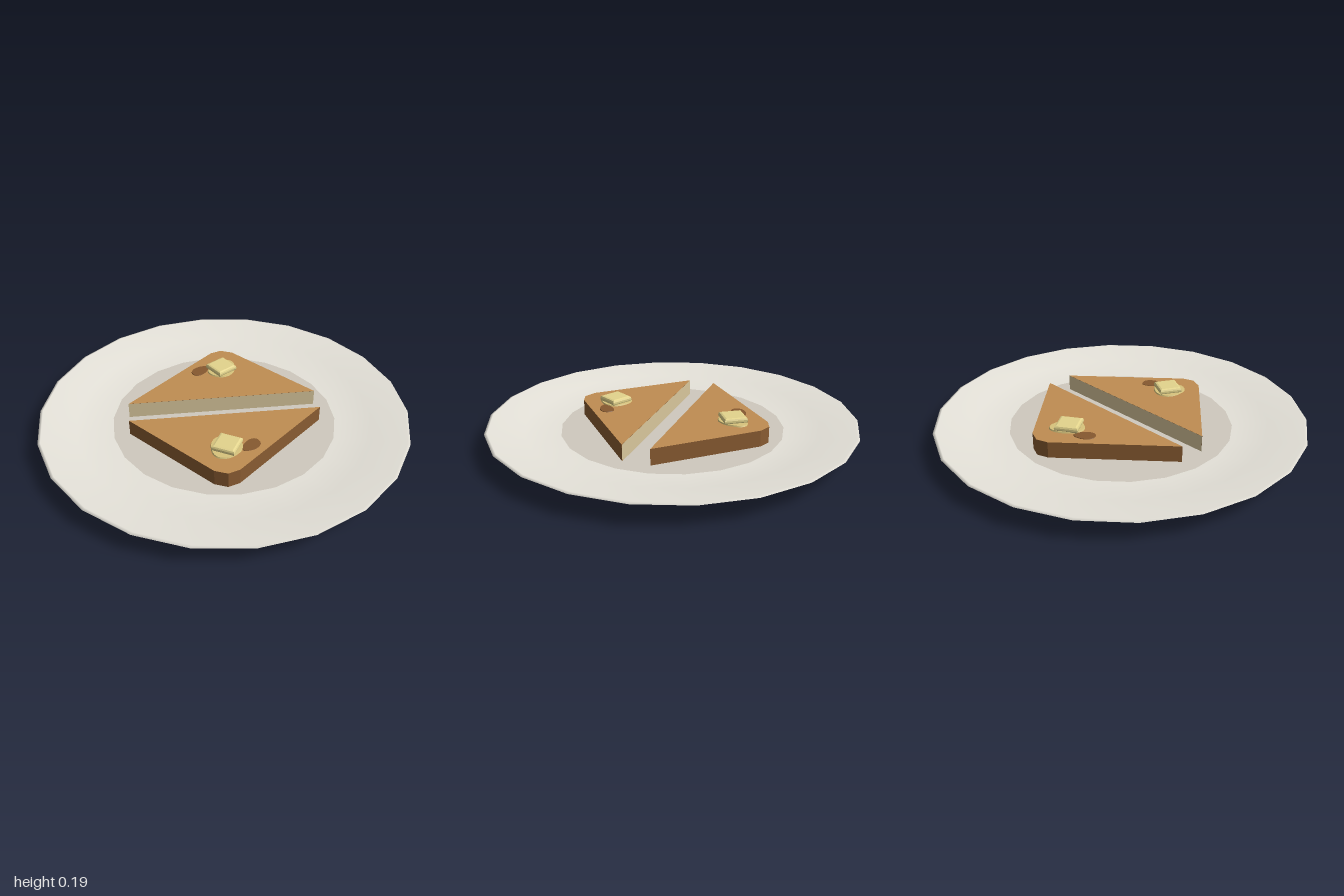
import * as THREE from 'three';

const SIDES = 22, FLOOR = 0.065, TOP = 0.155;
const mat = (color) => new THREE.MeshStandardMaterial({ color });
const plateMat = mat(0xe6e3da), wellMat = mat(0xcfc9be), toastMat = mat(0xbf8d52),
  crustMat = mat(0x8a5c32), crumbMat = mat(0xd9c79c), butterMat = mat(0xe3d48c),
  poolMat = mat(0xd8c47c), spotMat = mat(0x86592f);

function add(parent, name, geometry, material, x = 0, y = 0, z = 0) {
  const mesh = new THREE.Mesh(geometry, material);
  mesh.name = name;
  mesh.position.set(x, y, z);
  parent.add(mesh);
  return mesh;
}

// Thin flat puddle with a gently wavy outline
function blob(rx, rz, height, phase) {
  const g = new THREE.CylinderGeometry(0.96, 1, height, 28);
  const p = g.attributes.position;
  for (let i = 0; i < p.count; i++) {
    const a = Math.atan2(p.getZ(i), p.getX(i));
    const k = 1 + 0.06 * Math.sin(3 * a + phase) + 0.04 * Math.sin(2 * a - phase);
    p.setX(i, p.getX(i) * rx * k);
    p.setZ(i, p.getZ(i) * rz * k);
  }
  g.computeVertexNormals();
  return g;
}

// Square pat of butter with bevelled edges, resting on y = 0
function butterPat(size, height) {
  const b = 0.012, h = size / 2 - b;
  const s = new THREE.Shape([[-h, -h], [h, -h], [h, h], [-h, h]].map(([x, y]) => new THREE.Vector2(x, y)));
  const g = new THREE.ExtrudeGeometry(s, {
    depth: height - 2 * b, bevelThickness: b, bevelSize: b, bevelSegments: 2,
  });
  return g.rotateX(-Math.PI / 2).translate(0, b, 0);
}

// One triangular half slice: crusted wedge, pale cut face, butter and toasted spot
function toastHalf(name, patTurn, pool) {
  const half = new THREE.Group();
  half.name = name;
  const outline = [[-0.33, -0.4], [0.34, -0.4], [0.4, -0.375], [0.43, -0.31], [0.43, 0.29]];
  const shape = new THREE.Shape(outline.map(([x, z]) => new THREE.Vector2(x, z)));
  const depth = TOP - FLOOR;
  const wedge = new THREE.ExtrudeGeometry(shape, { depth, bevelEnabled: false }).rotateX(Math.PI / 2);
  add(half, 'toastSlice', wedge, [toastMat, crustMat], 0, TOP, 0);

  const [ax, az] = outline[0], [bx, bz] = outline[4];
  const length = Math.hypot(bx - ax, bz - az);
  const nx = -(bz - az) / length, nz = (bx - ax) / length;
  const cut = add(half, 'cutFace', new THREE.PlaneGeometry(length, depth), crumbMat,
    (ax + bx) / 2 + nx * 0.001, TOP - depth / 2, (az + bz) / 2 + nz * 0.001);
  cut.rotation.y = Math.atan2(nx, nz);

  add(half, 'toastedSpot', blob(0.06, 0.036, 0.004, 1), spotMat, 0.16, TOP + 0.001, -0.322);
  add(half, 'meltedButter', blob(pool.rx, pool.rz, 0.008, 2.5), poolMat, 0.258, TOP + 0.003, -0.238);
  const pat = add(half, 'butterPat', butterPat(0.124, 0.034), butterMat, 0.252, TOP, -0.24);
  pat.rotation.y = patTurn;
  return half;
}

export function createModel() {
  const model = new THREE.Group();
  model.name = 'toastPlate';

  // Plate: flat foot, flared wall, thin rim and shallow dished inside
  const profile = [[0, 0], [0.65, 0], [0.99, 0.11], [1, 0.115], [0.985, 0.12], [0.8, 0.092], [0.62, FLOOR], [0, FLOOR]]
    .map(([r, y]) => new THREE.Vector2(r, y));
  add(model, 'plate', new THREE.LatheGeometry(profile, SIDES, Math.PI / 2), plateMat);

  // Darker well in the middle of the plate
  add(model, 'plateWell', new THREE.CircleGeometry(0.605, SIDES).rotateX(-Math.PI / 2), wellMat, 0, FLOOR + 0.002, 0);

  // Two halves, facing each other across the gap
  model.add(toastHalf('backToast', -0.16, { rx: 0.095, rz: 0.07 }));
  const front = toastHalf('frontToast', 0.33, { rx: 0.09, rz: 0.082 });
  front.rotation.y = Math.PI;
  model.add(front);
  return model;
}
